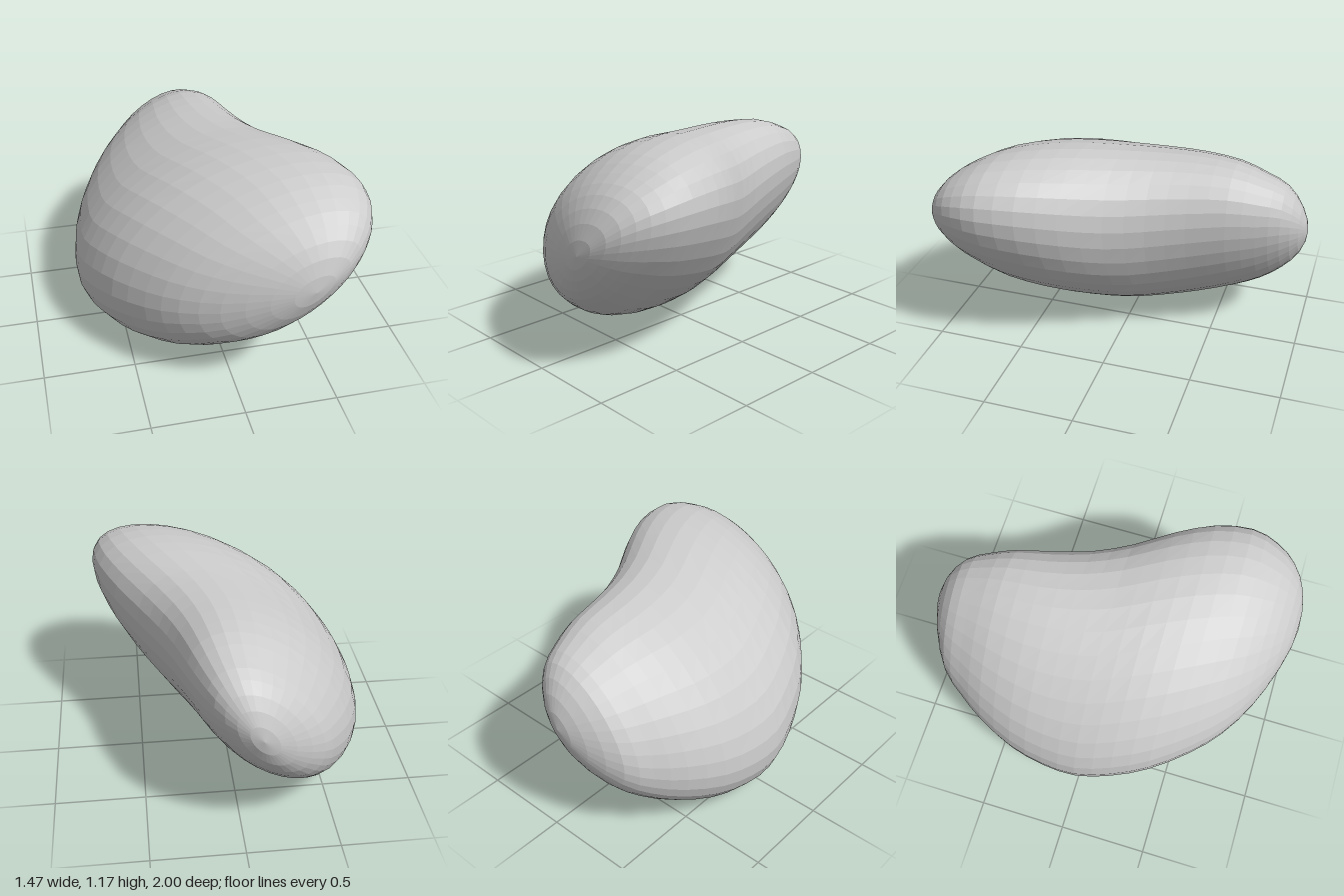
import * as THREE from 'three';

// Stations along the bean: z, lowest x, highest x, lowest y, highest y
const STATIONS = [
  [-1.00, -0.08, -0.08, 0.71, 0.71],
  [-0.96, -0.25, 0.05, 0.53, 0.87],
  [-0.87, -0.415, 0.15, 0.38, 0.99],
  [-0.75, -0.51, 0.21, 0.265, 1.05],
  [-0.60, -0.605, 0.265, 0.17, 1.10],
  [-0.40, -0.69, 0.32, 0.08, 1.12],
  [-0.20, -0.73, 0.39, 0.025, 1.13],
  [0.00, -0.735, 0.49, 0.00, 1.145],
  [0.20, -0.685, 0.61, 0.025, 1.17],
  [0.40, -0.595, 0.70, 0.075, 1.178],
  [0.60, -0.45, 0.735, 0.165, 1.155],
  [0.75, -0.30, 0.705, 0.275, 1.095],
  [0.87, -0.11, 0.635, 0.39, 1.015],
  [0.96, 0.12, 0.52, 0.55, 0.89],
  [1.00, 0.34, 0.34, 0.72, 0.72],
];

// Closed outline running up one side of the stations and back down the other
function outline(low, high) {
  const up = STATIONS.map((s) => new THREE.Vector3(s[low], 0, s[0]));
  const down = STATIONS.slice(1, -1).reverse().map((s) => new THREE.Vector3(s[high], 0, s[0]));
  return new THREE.CatmullRomCurve3([...up, ...down], true, 'catmullrom', 0.5);
}

// Centre, half size and z of an outline at v (0 = back tip, 1 = front tip)
function span(curve, v) {
  const a = curve.getPoint(v / 2);
  const b = curve.getPoint(1 - v / 2);
  return { mid: (a.x + b.x) / 2, half: (b.x - a.x) / 2, z: a.z };
}

export function createModel() {
  const group = new THREE.Group();
  group.name = 'kidneyBean';

  const topOutline = outline(1, 2);
  const sideOutline = outline(3, 4);

  // Sphere grid reshaped into leaning oval sections along z
  const rings = 28;
  const sphere = new THREE.SphereGeometry(1, 32, rings);
  const pos = sphere.attributes.position;
  const uv = sphere.attributes.uv;
  for (let i = 0; i < pos.count; i++) {
    const v = Math.round(uv.getY(i) * rings) / rings;
    const angle = uv.getX(i) * Math.PI * 2;
    const c = -Math.cos(angle);
    const s = -Math.sin(angle);
    const sx = span(topOutline, v);
    const sy = span(sideOutline, v);
    // Sections lean towards +x, +y, more so at the tips; the front lobe is egg-shaped
    const front = THREE.MathUtils.smoothstep(sx.z, -0.2, 0.5);
    const lean = 0.45 + 0.08 * sx.z * sx.z + front * (0.09 * c - 0.05 * s);
    pos.setXYZ(
      i,
      sx.mid + sx.half * c,
      sy.mid + sy.half * (lean * c + Math.sqrt(1 - lean * lean) * s),
      sx.z
    );
  }

  // Faceted surface
  const geometry = sphere.toNonIndexed();
  geometry.computeVertexNormals();
  const material = new THREE.MeshStandardMaterial({ color: 0xcccccc, flatShading: true });
  const bean = new THREE.Mesh(geometry, material);
  bean.name = 'beanBody';
  group.add(bean);
  return group;
}
